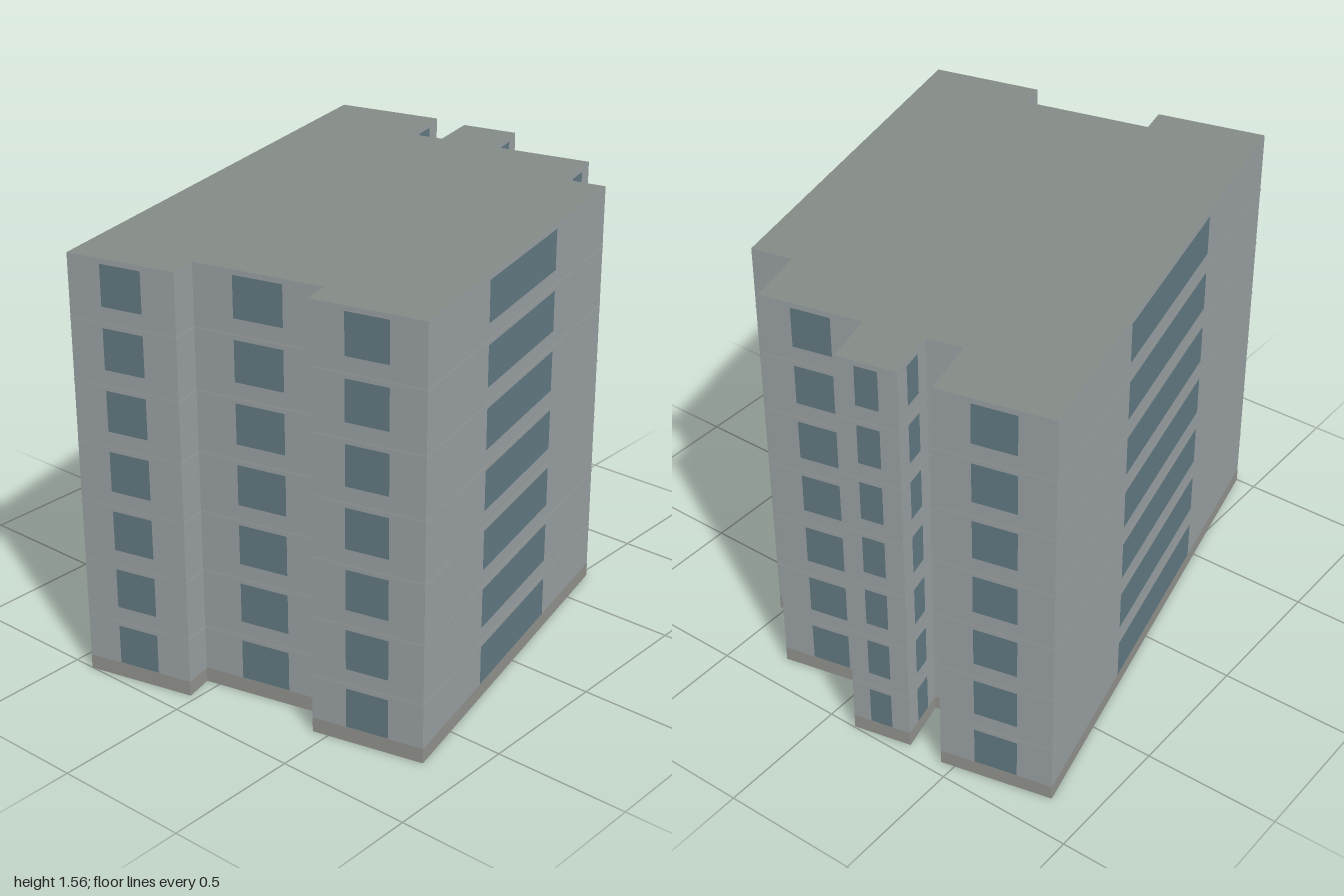
import * as THREE from 'three';
import { mergeGeometries } from 'three/addons/utils/BufferGeometryUtils.js';

const HEIGHT = 1.56;
const FLOORS = 7;
const STOREY = HEIGHT / FLOORS;

// Footprint corners as [x, z], clockwise seen from above
const FOOTPRINT = [
  [-1, -0.42], [0.86, -0.85], [0.95, -0.45], [0.725, -0.395],
  [0.755, -0.27], [0.95, -0.315], [0.995, -0.105], [0.8, -0.055],
  [0.88, 0.315], [0.655, 0.37], [0.685, 0.522], [-0.705, 0.843],
  [-0.797, 0.443], [-0.692, 0.418], [-0.8, -0.05], [-0.906, -0.026],
];

const material = (color, side = THREE.FrontSide) => new THREE.MeshStandardMaterial({ color, side });

// Upright panel centred on a wall, pushed outward by a small offset
function panel(wall, width, y0, y1, offset) {
  const g = new THREE.PlaneGeometry(width, y1 - y0);
  g.translate(0, (y0 + y1) / 2, offset);
  g.rotateY(wall.angle);
  return g.translate(wall.x, 0, wall.z);
}

export function createModel() {
  const model = new THREE.Group();
  model.name = 'apartmentBlock';
  const add = (name, geometry, mat) => {
    const mesh = new THREE.Mesh(geometry, mat);
    mesh.name = name;
    model.add(mesh);
  };

  // Wall centre, length and facing angle for every footprint edge
  const walls = FOOTPRINT.map(([x0, z0], i) => {
    const [x1, z1] = FOOTPRINT[(i + 1) % FOOTPRINT.length];
    return {
      x: (x0 + x1) / 2,
      z: (z0 + z1) / 2,
      length: Math.hypot(x1 - x0, z1 - z0),
      angle: Math.atan2(z1 - z0, x0 - x1),
    };
  });

  // Outer walls, open underneath
  add('walls', mergeGeometries(walls.map((w) => panel(w, w.length, 0, HEIGHT, 0))),
    material(0x9ca3a5, THREE.DoubleSide));

  // Flat roof
  const outline = new THREE.Shape(FOOTPRINT.map(([x, z]) => new THREE.Vector2(x, -z)));
  const roof = new THREE.ShapeGeometry(outline).rotateX(-Math.PI / 2).translate(0, HEIGHT, 0);
  add('roof', roof, material(0x858c87, THREE.DoubleSide));

  // Plinth strip around the base
  add('plinth', mergeGeometries(walls.map((w) => panel(w, w.length, 0, 0.055, 0.001))),
    material(0x94958f));

  // Thin bands between storeys, and one window per storey on the wider walls
  const bands = [];
  const windows = [];
  for (let f = 0; f < FLOORS; f++) {
    const y = f * STOREY;
    for (const w of walls) {
      if (f > 0) bands.push(panel(w, w.length, y - 0.004, y + 0.004, 0.002));
      if (w.length > 0.18) windows.push(panel(w, w.length * 0.38, y + 0.057, y + 0.205, 0.002));
    }
  }
  add('floorBands', mergeGeometries(bands), material(0xa2a6a5));
  add('windows', mergeGeometries(windows), material(0x647b84));

  return model;
}
